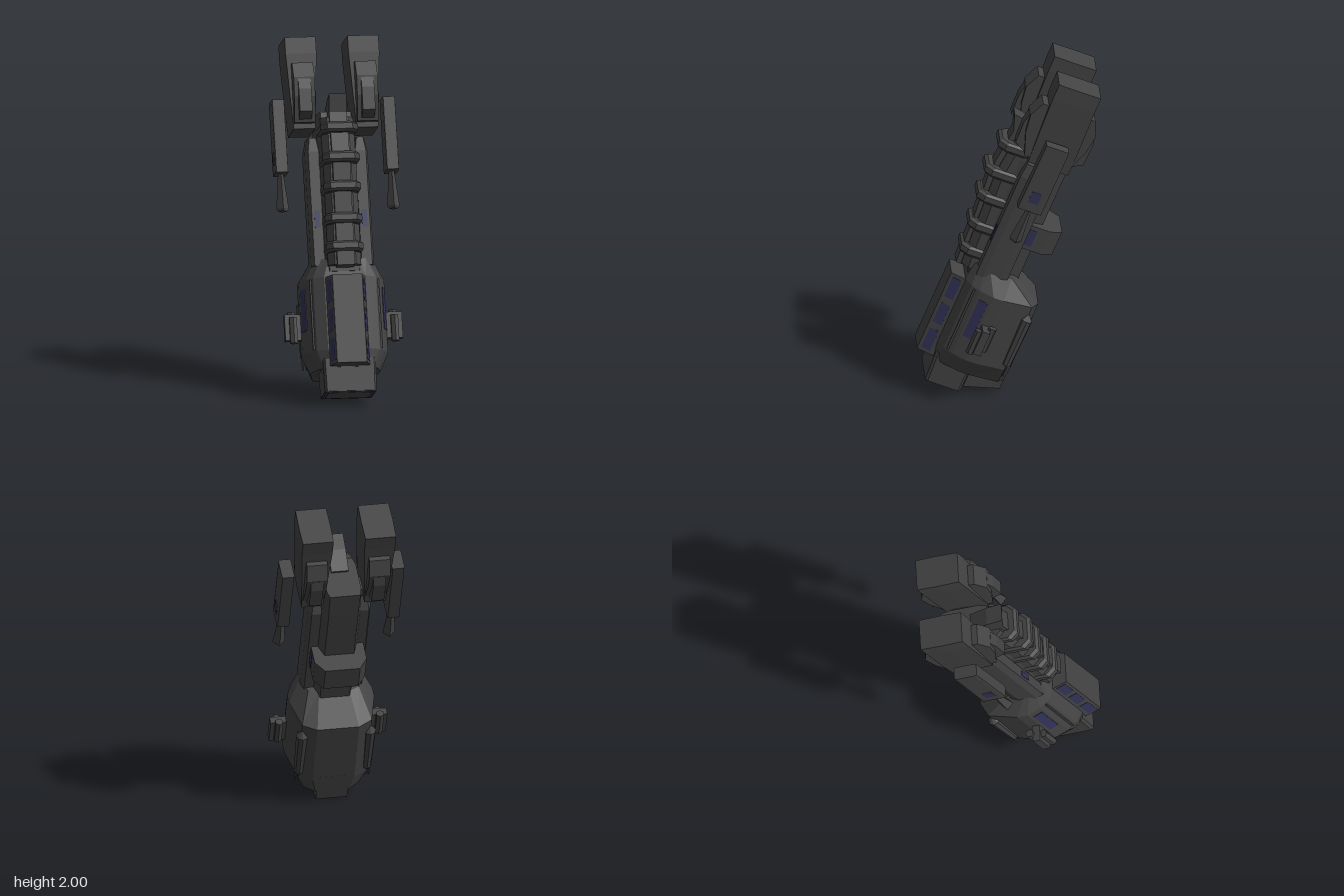
import * as THREE from 'three';

const grey = new THREE.MeshStandardMaterial({ color: 0x434343, flatShading: true });
grey.name = 'hullGrey';
const navy = new THREE.MeshStandardMaterial({ color: 0x323258, flatShading: true });
navy.name = 'navyTrim';

// Solid through cross-sections [y, half outline]; each outline runs from top (+z) to bottom as [x, z] and is mirrored.
function loft(sections) {
  const rings = sections.map(([y, half]) => {
    const all = half.concat(half.slice().reverse().map(([x, z]) => [-x, z]));
    return all.map(([x, z]) => [x, y, z]);
  });
  const pos = [];
  const tri = (a, b, c) => pos.push(...a, ...b, ...c);
  const n = rings[0].length;
  for (let i = 0; i < rings.length - 1; i++) {
    for (let j = 0; j < n; j++) {
      const k = (j + 1) % n;
      const a = rings[i][j], b = rings[i][k], c = rings[i + 1][k], d = rings[i + 1][j];
      tri(a, b, c);
      tri(a, c, d);
    }
  }
  const first = rings[0], last = rings[rings.length - 1];
  for (let j = 1; j < n - 1; j++) {
    tri(last[0], last[j], last[j + 1]);
    tri(first[0], first[j + 1], first[j]);
  }
  const g = new THREE.BufferGeometry();
  g.setAttribute('position', new THREE.Float32BufferAttribute(pos, 3));
  g.computeVertexNormals();
  return g;
}

// Rectangle outline with chamfered corners: half width, low z, high z, chamfer in x and z
const chamfered = (w, z0, z1, cx, cz) => [[w - cx, z1], [w, z1 - cz], [w, z0 + cz], [w - cx, z0]];

// Side profile of [y, z] points extruded across x
function profile(points, width) {
  const shape = new THREE.Shape(points.map(([y, z]) => new THREE.Vector2(-z, y)));
  const g = new THREE.ExtrudeGeometry(shape, { depth: width, bevelEnabled: false });
  g.rotateY(Math.PI / 2);
  g.translate(-width / 2, 0, 0);
  return g;
}

export function createModel() {
  const root = new THREE.Group();
  root.name = 'spacecraft';
  const ship = new THREE.Group();
  ship.name = 'tiltedShip';
  ship.rotation.x = -Math.PI / 8; // long axis leans backwards
  root.add(ship);

  const add = (name, geo, x = 0, y = 0, z = 0, mat = grey) => {
    const m = new THREE.Mesh(geo, mat);
    m.name = name;
    m.position.set(x, y, z);
    ship.add(m);
    return m;
  };
  const box = (name, w, h, d, x, y, z, mat) => add(name, new THREE.BoxGeometry(w, h, d), x, y, z, mat);

  // Head hull
  const headOutline = (k, z0, z1) =>
    [[0.12, 1], [0.18, 0.93], [0.215, 0.82], [0.245, 0.64], [0.245, 0.5], [0.2, 0.1], [0.12, 0]]
      .map(([x, t]) => [x * k, z0 + t * (z1 - z0)]);
  add('headHull', loft([
    [0.05, headOutline(0.8, 0.05, 0.49)],
    [0.15, headOutline(1, 0.05, 0.5)],
    [0.57, headOutline(1, 0.057, 0.5)],
    [0.677, headOutline(0.73, 0.24, 0.485)],
  ]));
  const plateOutline = [[0.085, 0.585], [0.113, 0.5], [0.113, 0.38]];
  add('headTopPlate', loft([[0.055, plateOutline], [0.565, plateOutline]]));
  add('upperNose', loft([
    [-0.088, chamfered(0.148, 0.265, 0.48, 0.012, 0.015)],
    [0.1, chamfered(0.152, 0.265, 0.49, 0.012, 0.015)],
  ]));
  add('lowerNose', profile([[-0.075, 0.249], [0.12, 0.249], [0.17, 0.05], [-0.015, 0.05]], 0.18));
  // Navy border around the nose face
  box('noseTrim', 0.28, 0.004, 0.2, 0, -0.089, 0.3725, navy);
  box('noseFace', 0.25, 0.004, 0.165, 0, -0.091, 0.3725);

  // Central fuselage and rear spine
  add('fuselage', loft([
    [0.6, chamfered(0.11, 0.215, 0.5, 0.025, 0.07)],
    [1.36, chamfered(0.11, 0.215, 0.52, 0.025, 0.07)],
    [1.52, chamfered(0.1, 0.218, 0.5, 0.012, 0.05)],
  ]));
  add('spineShoulders', loft([
    [0.63, [[0.06, 0.55], [0.095, 0.51], [0.095, 0.42]]],
    [1.22, [[0.06, 0.585], [0.095, 0.545], [0.095, 0.42]]],
    [1.48, [[0.06, 0.56], [0.095, 0.52], [0.095, 0.42]]],
  ]));
  add('spineRidge', profile(
    [[0.62, 0.42], [0.62, 0.578], [0.9, 0.59], [1.22, 0.618], [1.5, 0.588], [1.6, 0.622], [1.58, 0.52], [1.53, 0.4]], 0.1));
  const rib = (w, top) => [[w - 0.035, top], [w, top - 0.04], [w, 0.44]];
  [[0.73, 0.596], [0.89, 0.612], [1.07, 0.634], [1.235, 0.655], [1.41, 0.643]].forEach(([y, top]) =>
    add('spineRib', loft([
      [-0.03, rib(0.095, top - 0.015)], [-0.016, rib(0.107, top)],
      [0.016, rib(0.107, top)], [0.03, rib(0.095, top - 0.015)],
    ]), 0, y, 0));

  // Belly box
  const belly = [[0.15, 0.295], [0.15, 0.17], [0.1, 0.098]];
  add('bellyBox', loft([[0.876, belly], [1.026, belly]]));

  for (const side of [1, -1]) {
    // Navy trim on the head, slab and belly
    for (const y of [0.14, 0.31, 0.48]) {
      box('plateTrim', 0.004, 0.13, 0.055, side * 0.099, y, 0.542, navy).rotation.y = -side * 0.318;
    }
    box('headSideTrim', 0.004, 0.24, 0.055, side * 0.2305, 0.4, 0.382, navy).rotation.y = -side * 0.36;
    box('slabTrim', 0.03, 0.1, 0.004, side * 0.135, 0.908, 0.471, navy);
    box('bellyTrim', 0.004, 0.1, 0.045, side * 0.15, 0.95, 0.265, navy);
    // Raised cheek panel
    box('cheekPanel', 0.06, 0.4, 0.15, side * 0.168, 0.36, 0.38);

    // Fuselage side slab
    add('sideSlab', loft([
      [0.64, chamfered(0.045, 0.29, 0.47, 0.015, 0.04)],
      [1.3, chamfered(0.045, 0.29, 0.47, 0.015, 0.04)],
      [1.38, chamfered(0.03, 0.33, 0.46, 0.012, 0.03)],
    ]), side * 0.135, 0, 0);

    // Engine with upper and lower fins
    const hex = (w, z0, z1) => [[w * 0.97, z1], [w, (z0 + z1) / 2], [w * 0.97, z0]];
    add('engine', loft([
      [1.43, hex(0.063, 0.24, 0.485)],
      [1.6, hex(0.075, 0.243, 0.497)],
      [1.86, hex(0.091, 0.256, 0.512)],
      [1.955, hex(0.091, 0.256, 0.512)],
    ]), side * 0.18, 0, 0);
    box('engineStrut', 0.08, 0.05, 0.1, side * 0.1, 1.47, 0.33);
    for (const up of [1, -1]) {
      const z = (h) => 0.384 + up * h;
      const order = (pts) => (up > 0 ? pts : pts.slice().reverse());
      add('engineFin', profile(order(
        [[1.8, z(0.1)], [1.8, z(0.16)], [1.71, z(0.2)], [1.6, z(0.185)], [1.46, z(0.135)], [1.46, z(0.09)]]), 0.12), side * 0.18);
      add('engineFinTip', profile(order(
        [[1.72, z(0.09)], [1.7, z(0.2)], [1.64, z(0.212)], [1.51, z(0.208)], [1.478, z(0.15)], [1.47, z(0.09)]]), 0.072), side * 0.18);
    }

    // Outrigger pod with flared probe
    add('outriggerPod', loft([
      [1.19, chamfered(0.036, 0.315, 0.457, 0.003, 0.015)],
      [1.61, chamfered(0.036, 0.315, 0.452, 0.003, 0.015)],
    ]), side * 0.317);
    box('podTrim', 0.003, 0.07, 0.06, side * 0.353, 1.28, 0.388, navy);
    add('probe', new THREE.CylinderGeometry(0.016, 0.036, 0.2, 4), side * 0.317, 1.09, 0.385);
    add('probeTip', new THREE.CylinderGeometry(0.036, 0.026, 0.015, 4), side * 0.317, 0.983, 0.385);

    // Side thruster cluster
    box('thrusterMount', 0.1, 0.15, 0.045, side * 0.286, 0.315, 0.315);
    for (const e of [1, -1]) {
      add('thrusterTube', new THREE.CylinderGeometry(0.024, 0.024, 0.15, 6), side * 0.29, 0.315 - e * 0.02, 0.315 + e * 0.033);
    }

    // Underside gun pod with twin barrels
    add('gunPod', new THREE.CylinderGeometry(0.035, 0.028, 0.3, 8), side * 0.195, 0.335, 0.1);
    add('gunPodCap', new THREE.ConeGeometry(0.035, 0.04, 8), side * 0.195, 0.505, 0.1);
    for (const e of [1, -1]) {
      add('gunBarrel', new THREE.CylinderGeometry(0.006, 0.006, 0.08, 5), side * 0.2 + e * 0.011, 0.155, 0.095);
    }
  }
  return root;
}
